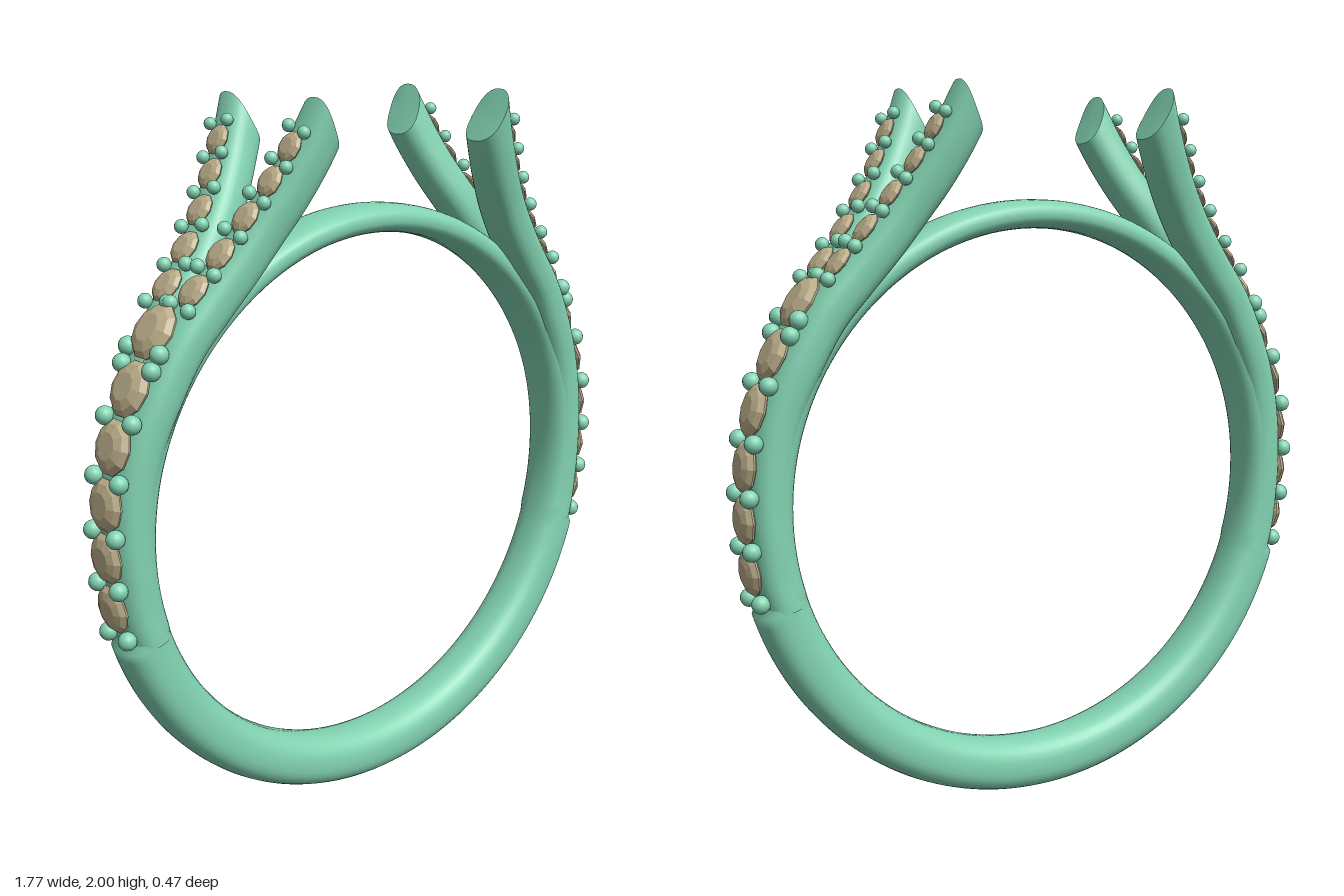
import * as THREE from 'three';

const V = (x, y, z) => new THREE.Vector3(x, y, z);
const metal = new THREE.MeshStandardMaterial({ color: 0x82d3b2 });
const stone = new THREE.MeshStandardMaterial({ color: 0xbcae8a, flatShading: true });
const CY = 0.885, INNER = 0.735, SIDES = 32, DEPTH = 0.058;

// Softly squared oval cross-section around centre c
function section(c, n, b, d, w) {
  const se = (v) => Math.sign(v) * Math.abs(v) ** 0.82;
  return Array.from({ length: SIDES }, (_, i) => {
    const a = (i / SIDES) * Math.PI * 2;
    return c.clone().addScaledVector(n, d * se(Math.cos(a))).addScaledVector(b, w * se(Math.sin(a)));
  });
}

// Skin a row of cross-sections; open rows get end caps, faces are turned outward
function loft(rows, closed) {
  const pts = rows.flat(), idx = [], n = SIDES, m = rows.length;
  for (let r = 0; r < (closed ? m : m - 1); r++) {
    for (let i = 0; i < n; i++) {
      const a = r * n + i, b = r * n + (i + 1) % n;
      const c = ((r + 1) % m) * n + i, d = ((r + 1) % m) * n + (i + 1) % n;
      idx.push(a, b, c, b, d, c);
    }
  }
  if (!closed) {
    [[rows[0], true], [rows[m - 1], false]].forEach(([row, start]) => {
      const base = pts.length;
      pts.push(...row, row.reduce((s, p) => s.add(p), V(0, 0, 0)).divideScalar(n));
      for (let i = 0; i < n; i++) {
        const j = (i + 1) % n;
        idx.push(base + n, base + (start ? j : i), base + (start ? i : j));
      }
    });
  }
  let volume = 0;
  for (let i = 0; i < idx.length; i += 3) {
    volume += pts[idx[i]].dot(pts[idx[i + 1]].clone().cross(pts[idx[i + 2]]));
  }
  if (volume < 0) idx.reverse();
  const g = new THREE.BufferGeometry().setFromPoints(pts);
  g.setIndex(idx);
  g.computeVertexNormals();
  return g;
}

function add(parent, name, geometry, material) {
  const mesh = new THREE.Mesh(geometry, material);
  mesh.name = name;
  parent.add(mesh);
  return mesh;
}

// Round band: thick below, stepped down under the stones, thin on top
function shankGeometry() {
  const rows = [], steps = 200;
  for (let i = 0; i < steps; i++) {
    const a = (i / steps) * Math.PI * 2, s = Math.sin(a);
    const step = THREE.MathUtils.smoothstep(s, -0.31, -0.285);
    const upper = THREE.MathUtils.lerp(0.85, 0.815, THREE.MathUtils.smoothstep(s, 0.2, 0.85));
    const outer = THREE.MathUtils.lerp(0.88 - 0.005 * s, upper, step);
    const n = V(Math.cos(a), s, 0), r = (INNER + outer) / 2;
    rows.push(section(V(n.x * r, CY + s * r, 0), n, V(0, 0, 1), (outer - INNER) / 2, 0.08));
  }
  return loft(rows, true);
}

// Outer ridge line of one arm, from the side of the band up to the tip
const ridge = new THREE.CatmullRomCurve3([
  [0.817, 0.62, 0], [0.838, 0.7, 0], [0.85, 0.8, 0.002], [0.855, 0.9, 0.004], [0.845, 1.05, 0.008],
  [0.815, 1.18, 0.016], [0.76, 1.31, 0.03], [0.69, 1.435, 0.043], [0.605, 1.54, 0.06],
  [0.54, 1.62, 0.078], [0.475, 1.71, 0.1], [0.42, 1.795, 0.128], [0.375, 1.88, 0.154], [0.34, 1.96, 0.174],
].map((p) => V(...p)));

// Point and frame on the ridge
function frameAt(u, side) {
  const p = ridge.getPoint(u), t = ridge.getTangent(u);
  p.z *= side;
  t.z *= side;
  const n = V(t.y, -t.x, 0).normalize();
  return { p, t, n, b: t.clone().cross(n) };
}

function frameAtHeight(y, side) {
  let lo = 0, hi = 1;
  for (let i = 0; i < 30; i++) {
    const mid = (lo + hi) / 2;
    if (ridge.getPoint(mid).y < y) lo = mid; else hi = mid;
  }
  return frameAt(lo, side);
}

// Arm with its tip trimmed by a slightly hollow slanting cut
function armGeometry(side) {
  const rows = [], steps = 70;
  const beyond = (p) => {
    const h = p.y - 1.85;
    return p.x - (0.247 + 0.5 * h + 1.6 * h * (0.15 - h));
  };
  const end = frameAt(1, side).t;
  for (let i = 0; i <= steps; i++) {
    const u = i / steps, f = frameAt(u, side);
    const c = f.p.clone().addScaledVector(f.n, -DEPTH);
    const row = section(c, f.n, f.b, DEPTH, THREE.MathUtils.lerp(0.083, 0.06, u));
    row.forEach((p) => {
      if (p.y < 1.75 || (i < steps && beyond(p) > 0)) return;
      let lo = -0.15, hi = 0.15;
      for (let k = 0; k < 30; k++) {
        const mid = (lo + hi) / 2;
        if (beyond(p.clone().addScaledVector(end, mid)) > 0) lo = mid; else hi = mid;
      }
      p.addScaledVector(end, lo);
    });
    rows.push(row);
  }
  return loft(rows, false);
}

// Faceted stone: table, crown, girdle, pavilion
const gemGeometry = new THREE.LatheGeometry(
  [[0, -0.5], [0.97, -0.03], [1, 0.05], [0.82, 0.24], [0.5, 0.36], [0, 0.36]].map((p) => new THREE.Vector2(...p)), 10);
const beadGeometry = new THREE.SphereGeometry(1, 16, 12);

function addGem(parent, f, radius) {
  const gem = add(parent, 'gem', gemGeometry, stone);
  gem.position.copy(f.p);
  gem.quaternion.setFromUnitVectors(V(0, 1, 0), f.n);
  gem.scale.setScalar(radius);
}

function addBead(parent, f, offset, radius) {
  const bead = add(parent, 'bead', beadGeometry, metal);
  bead.position.copy(f.p).addScaledVector(f.b, offset).addScaledVector(f.n, 0.008);
  bead.scale.setScalar(radius);
}

function createShoulder() {
  const shoulder = new THREE.Group();
  // Single row of stones below the fork
  const flat = (y) => {
    const f = frameAtHeight(y, 1);
    f.p.z = 0;
    f.b.set(0, 0, 1);
    return f;
  };
  [0.735, 0.875, 1.015, 1.16, 1.3, 1.435].forEach((y, i) => addGem(shoulder, flat(y), 0.066 + i * 0.0025));
  [0.66, 0.8, 0.94, 1.08, 1.225, 1.35, 1.39].forEach((y, i) => {
    for (const s of [1, -1]) addBead(shoulder, flat(y), s * (0.045 + i * 0.0045), 0.025);
  });
  // Forked arms with smaller stones
  for (const side of [1, -1]) {
    add(shoulder, 'arm', armGeometry(side), metal);
    [1.535, 1.622, 1.71, 1.797, 1.88].forEach((y, i) => addGem(shoulder, frameAtHeight(y, side), 0.05 - i * 0.002));
    [1.495, 1.58, 1.67, 1.755, 1.84, 1.922].forEach((y, i) => {
      for (const s of [1, -1]) addBead(shoulder, frameAtHeight(y, side), s * (0.045 - i * 0.002), 0.02 - i * 0.0006);
    });
  }
  return shoulder;
}

export function createModel() {
  const ring = new THREE.Group();
  ring.name = 'ring';
  add(ring, 'shank', shankGeometry(), metal);
  const left = createShoulder(), right = createShoulder();
  left.name = 'leftShoulder';
  right.name = 'rightShoulder';
  right.rotation.y = Math.PI;
  ring.add(left, right);
  return ring;
}
